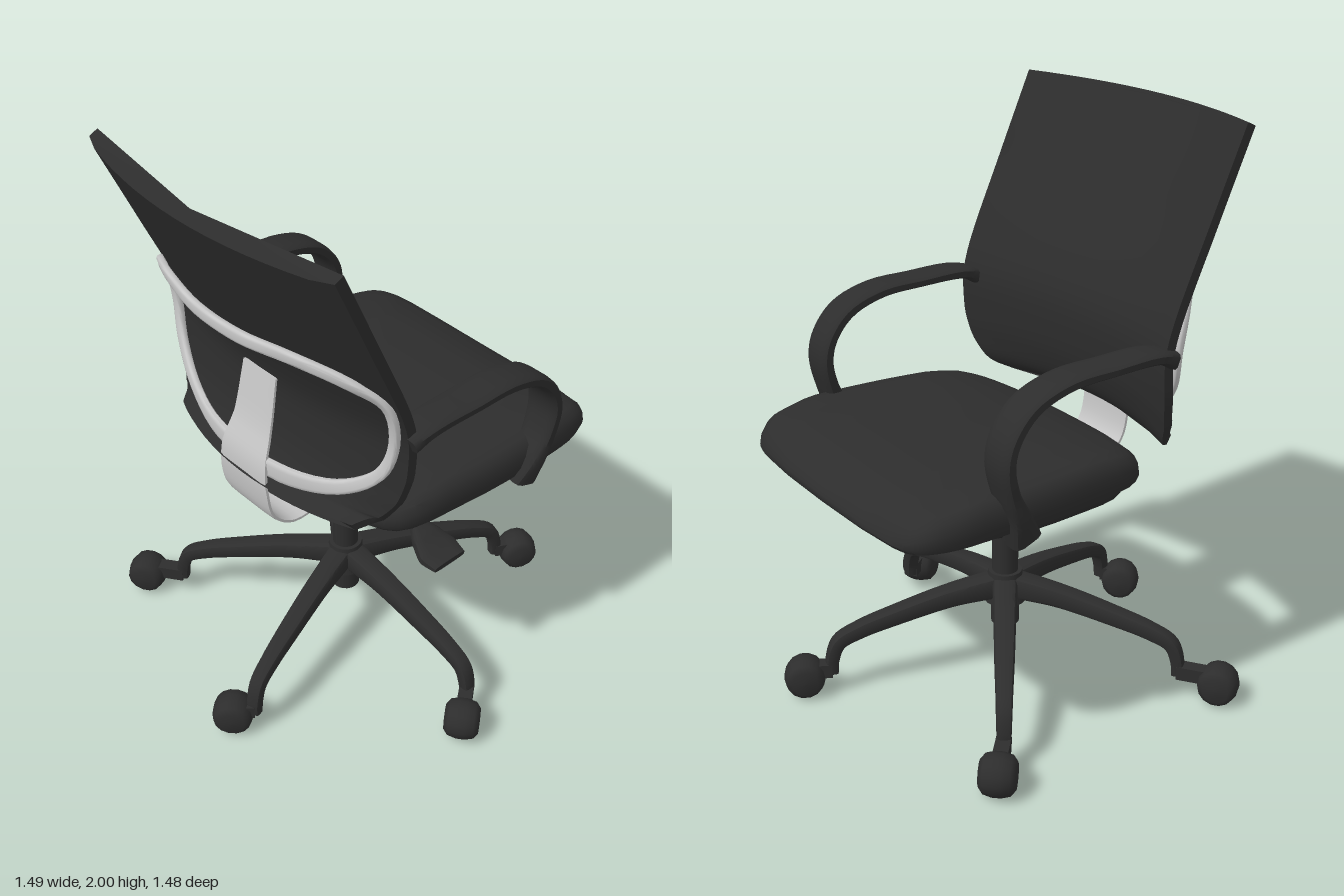
import * as THREE from 'three';
import { toCreasedNormals } from 'three/addons/utils/BufferGeometryUtils.js';

const V = (x, y, z) => new THREE.Vector3(x, y, z);
const black = new THREE.MeshStandardMaterial({ color: 0x2d2d2d });
black.name = 'black plastic and fabric';
const silver = new THREE.MeshStandardMaterial({ color: 0xc6c6c6, side: THREE.DoubleSide });
silver.name = 'silver metal';

// Linear lookup in a short list of [key, value] pairs
function lookup(pairs, k) {
  for (let i = 1; i < pairs.length; i++) {
    const [a, va] = pairs[i - 1], [b, vb] = pairs[i];
    if (k <= b) return va + (vb - va) * Math.max(0, (k - a) / (b - a));
  }
  return pairs[pairs.length - 1][1];
}

// Skin closed rings of equal length, each counter-clockwise about the direction of travel
function loft(rings, caps = true) {
  const n = rings[0].length, pos = [], idx = [];
  rings.forEach(r => r.forEach(p => pos.push(p.x, p.y, p.z)));
  for (let i = 0; i < rings.length - 1; i++) {
    for (let j = 0; j < n; j++) {
      const a = i * n + j, b = i * n + (j + 1) % n;
      idx.push(a, b, a + n, b, b + n, a + n);
    }
  }
  if (caps) {
    [0, rings.length - 1].forEach((i, end) => {
      const c = rings[i].reduce((s, p) => s.add(p), V(0, 0, 0)).divideScalar(n);
      const k = pos.length / 3;
      pos.push(c.x, c.y, c.z);
      for (let j = 0; j < n; j++) {
        const a = i * n + j, b = i * n + (j + 1) % n;
        if (end) idx.push(k, a, b); else idx.push(k, b, a);
      }
    });
  }
  const g = new THREE.BufferGeometry();
  g.setAttribute('position', new THREE.Float32BufferAttribute(pos, 3));
  g.setIndex(idx);
  return toCreasedNormals(g, 0.75);
}

// Sweep a rounded section along points [x, y, z, size along axis, size across axis]
function sweep(points, axis, { steps = 28, closed = false } = {}) {
  const curve = new THREE.CatmullRomCurve3(points.map(p => V(p[0], p[1], p[2])), closed, 'centripetal');
  const last = closed ? points.length : points.length - 1;
  const rings = [];
  for (let i = 0; i <= steps; i++) {
    const t = i / steps, f = t * last, k = Math.min(Math.floor(f), last - 1);
    const p = points[k], q = points[(k + 1) % points.length];
    const a = THREE.MathUtils.lerp(p[3], q[3], f - k) / 2;
    const b = THREE.MathUtils.lerp(p[4], q[4], f - k) / 2;
    const c = curve.getPoint(t), T = curve.getTangent(t);
    const A = axis.clone().addScaledVector(T, -axis.dot(T)).normalize();
    const B = T.clone().cross(A);
    const ring = [];
    for (let j = 0; j < 12; j++) {
      const h = (j + 0.5) / 12 * Math.PI * 2, pw = v => Math.sign(v) * Math.pow(Math.abs(v), 0.5);
      ring.push(c.clone().addScaledVector(A, a * pw(Math.cos(h))).addScaledVector(B, b * pw(Math.sin(h))));
    }
    rings.push(ring);
  }
  return loft(rings, !closed);
}

// Padded slab: plan outline scaled per layer, height between bottom(x) and top(x)
function slab(outline, bottom, top, layers) {
  const plan = [...outline.map(([x, w]) => V(x, 0, -w)), ...outline.map(([x, w]) => V(x, 0, w)).reverse()].reverse();
  const loop = new THREE.CatmullRomCurve3(plan, true, 'centripetal').getPoints(64).slice(0, 64);
  const cx = 0.19;
  return loft(layers.map(([s, t]) => loop.map(p => {
    const x = cx + (p.x - cx) * s;
    return V(x, THREE.MathUtils.lerp(lookup(bottom, x), lookup(top, x), t), p.z * s);
  })));
}

export function createModel() {
  const model = new THREE.Group();
  model.name = 'officeChair';
  const chair = new THREE.Group();
  chair.name = 'chair';
  chair.position.z = -0.04;
  model.add(chair);
  const add = (name, geo, mat = black, x = 0, y = 0, z = 0) => {
    const m = new THREE.Mesh(geo, mat);
    m.name = name;
    m.position.set(x, y, z);
    chair.add(m);
    return m;
  };
  const tube = (name, r, y0, y1, x = -0.015, r2 = r) =>
    add(name, new THREE.CylinderGeometry(r2, r, y1 - y0, 20), black, x, (y0 + y1) / 2);

  // Seat cushion and the pan below it
  const outline = [[-0.31, 0.1], [-0.285, 0.28], [-0.21, 0.47], [0.05, 0.53], [0.4, 0.55], [0.58, 0.535], [0.66, 0.49], [0.69, 0.4]];
  const seatTop = [[-0.31, 0.9], [-0.25, 0.93], [-0.12, 0.968], [0, 0.983], [0.45, 0.987], [0.6, 0.962], [0.66, 0.935], [0.69, 0.9]];
  const seatBottom = [[-0.3, 0.84], [0.3, 0.845], [0.5, 0.845], [0.69, 0.845]];
  add('seatCushion', slab(outline, seatBottom, seatTop,
    [[0.5, 0], [0.93, 0], [0.985, 0.12], [1, 0.35], [0.995, 0.6], [0.975, 0.85], [0.93, 0.97], [0.85, 1], [0.6, 1], [0.3, 1]]));
  add('seatPan', slab(outline, [[-0.24, 0.775], [0, 0.785], [0.28, 0.8], [0.45, 0.835]], [[-0.3, 0.86], [0.7, 0.86]],
    [[0.5, 0], [0.82, 0], [0.9, 0.3], [0.93, 0.7], [0.93, 1]]));

  // Backrest: curved across its width, bowed at the lumbar
  const profile = new THREE.CatmullRomCurve3([[-0.36, 0.93], [-0.29, 0.97], [-0.245, 1.07], [-0.225, 1.2],
    [-0.225, 1.3], [-0.25, 1.4], [-0.385, 1.71], [-0.515, 2]].map(p => V(p[0], p[1], 0)), false, 'centripetal');
  const backRings = [];
  for (let i = 0; i <= 36; i++) {
    const p = profile.getPoint(i / 36), T = profile.getTangent(i / 36);
    const w = lookup([[0.93, 0.43], [0.97, 0.49], [1.05, 0.535], [1.15, 0.555]], p.y);
    const row = back => Array.from({ length: 17 }, (_, j) => {
      const s = 1 - j / 8, t = back ? (Math.abs(s) > 0.97 ? 0.035 : 0.045) : 0;
      return V(p.x - 0.09 * (1 - s * s) - T.y * t, p.y + T.x * t, s * w);
    });
    backRings.push([...row(false), ...row(true).reverse()]);
  }
  add('backrest', loft(backRings));

  // Looped armrests
  for (const s of [1, -1]) {
    const z = 0.535 * s;
    add(s > 0 ? 'leftArmrest' : 'rightArmrest', sweep([[-0.255, 1.29, z, 0.1, 0.06], [-0.19, 1.315, z, 0.12, 0.04],
      [0, 1.318, z, 0.13, 0.035], [0.17, 1.31, z, 0.13, 0.04], [0.3, 1.262, z, 0.13, 0.045], [0.37, 1.18, z, 0.13, 0.045],
      [0.39, 1.1, z, 0.13, 0.045], [0.37, 1.0, z, 0.12, 0.05], [0.335, 0.92, z, 0.11, 0.07], [0.3, 0.83, z * 0.97, 0.1, 0.11]],
    V(0, 0, 1), { steps: 40 }));
  }

  // Silver spine rising from under the seat
  add('backSpine', sweep([[0, 0.768, 0, 0.2, 0.018], [-0.2, 0.755, 0, 0.23, 0.018], [-0.35, 0.755, 0, 0.24, 0.018],
    [-0.43, 0.82, 0, 0.24, 0.018], [-0.455, 0.92, 0, 0.24, 0.018], [-0.45, 1.03, 0, 0.22, 0.02],
    [-0.41, 1.14, 0, 0.18, 0.018], [-0.37, 1.33, 0, 0.16, 0.015]], V(0, 0, 1)), silver);

  // Silver loop behind the backrest
  const half = [[-0.52, 1.575, 0.1, 0.025, 0.045], [-0.48, 1.575, 0.28, 0.025, 0.04], [-0.4, 1.53, 0.45, 0.025, 0.04],
    [-0.325, 1.45, 0.525, 0.025, 0.035], [-0.295, 1.3, 0.53, 0.025, 0.035], [-0.315, 1.17, 0.49, 0.025, 0.04],
    [-0.37, 1.07, 0.36, 0.025, 0.05], [-0.43, 1.03, 0.15, 0.025, 0.07]];
  const mirrored = half.map(([x, y, z, a, b]) => [x, y, -z, a, b]).reverse();
  add('backLoop', sweep([...half, ...mirrored], V(1, 0, 0), { steps: 80, closed: true }), silver);

  // Mechanism, tension knob and height lever
  add('tiltMechanism', new THREE.BoxGeometry(0.34, 0.05, 0.24), black, 0.1, 0.785, 0);
  tube('mechanismCollar', 0.055, 0.72, 0.78);
  tube('tensionKnob', 0.056, 0.62, 0.8, 0.165, 0.05);
  add('heightLever', sweep([[-0.015, 0.765, 0.1, 0.025, 0.02], [-0.015, 0.755, 0.23, 0.025, 0.02],
    [-0.015, 0.72, 0.34, 0.03, 0.02], [-0.015, 0.675, 0.4, 0.11, 0.05], [-0.015, 0.645, 0.46, 0.16, 0.045],
    [-0.015, 0.635, 0.52, 0.14, 0.025]], V(1, 0, 0)));

  // Gas column
  tube('columnFoot', 0.05, 0.18, 0.3);
  tube('baseHub', 0.075, 0.27, 0.385, -0.015, 0.06);
  tube('columnSleeve', 0.046, 0.36, 0.585);
  tube('columnPiston', 0.034, 0.58, 0.76);

  // Five-star base; each caster swivels its own way
  const casters = [[0.67, 0.24], [-0.105, 0.7], [-0.67, 0.14], [-0.47, -0.63], [0.45, -0.61]];
  const wheel = new THREE.LatheGeometry([[0, -0.062], [0.045, -0.06], [0.064, -0.045], [0.072, -0.015], [0.072, 0.015],
    [0.064, 0.045], [0.045, 0.06], [0, 0.062]].map(p => new THREE.Vector2(p[0], p[1])), 14);
  wheel.rotateZ(Math.PI / 2);
  casters.forEach(([cx, cz], i) => {
    const a = (18 + 72 * i) * Math.PI / 180, c = Math.cos(a), s = Math.sin(a);
    const spoke = [[0.03, 0.33, 0.09, 0.09], [0.2, 0.312, 0.08, 0.07], [0.4, 0.268, 0.07, 0.06], [0.53, 0.232, 0.06, 0.055],
      [0.605, 0.195, 0.055, 0.05], [0.63, 0.13, 0.05, 0.045], [0.632, 0.08, 0.045, 0.04]];
    add('baseLeg', sweep(spoke.map(([r, y, w, h]) => [r * c - 0.015, y, r * s, w, h]), V(-s, 0, c)));
    const ex = 0.632 * c - 0.015, ez = 0.632 * s, dx = cx - ex, dz = cz - ez;
    const yaw = Math.atan2(dx, dz);
    add('casterWheel', wheel, black, cx, 0.072, cz).rotation.y = yaw;
    add('casterFork', new THREE.BoxGeometry(0.05, 0.05, Math.hypot(dx, dz)), black, (cx + ex) / 2, 0.095, (cz + ez) / 2).rotation.y = yaw;
  });
  return model;
}
